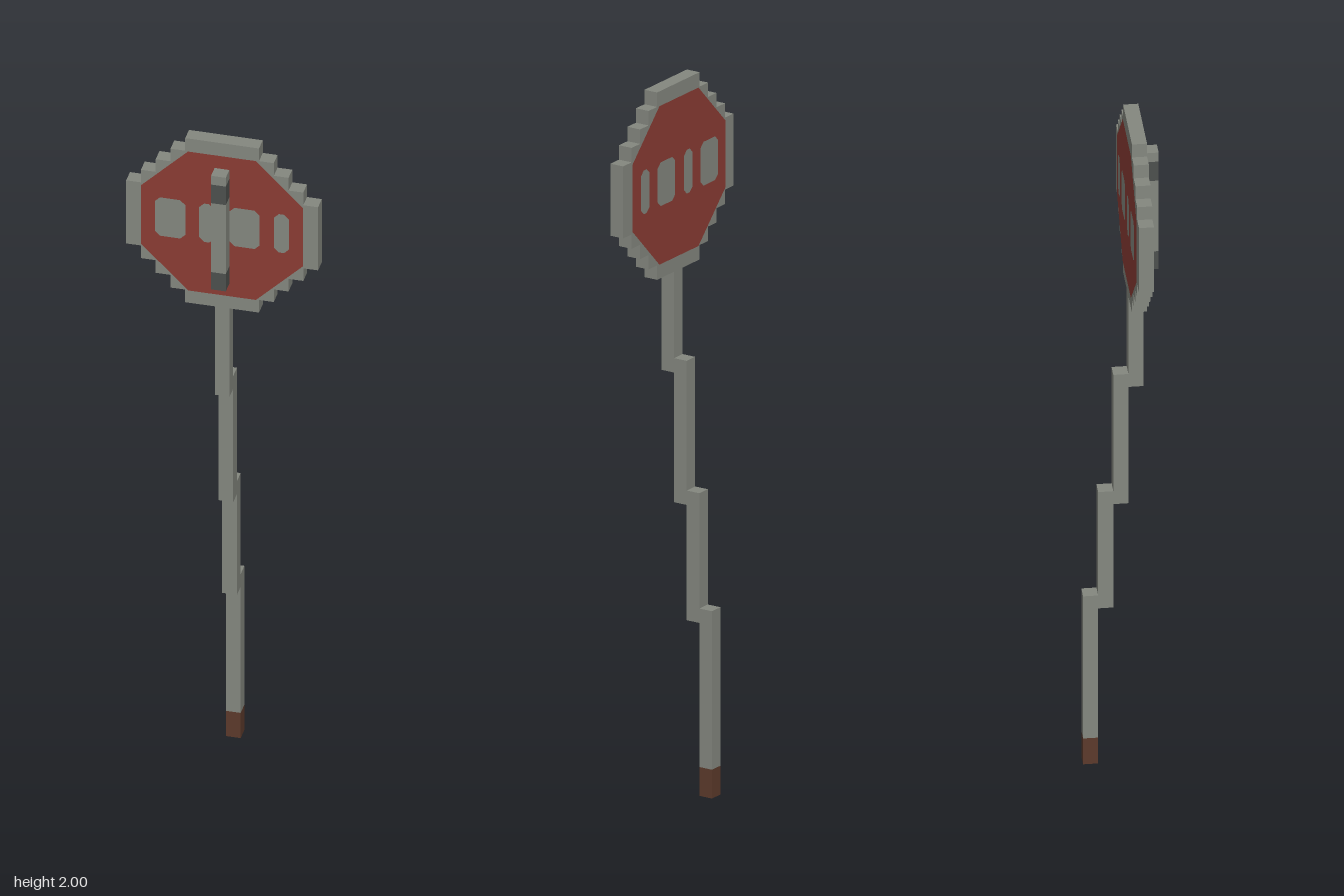
import * as THREE from 'three';

const V = 2 / 49; // one block

const mat = (name, color) => {
  const m = new THREE.MeshStandardMaterial({ color });
  m.name = name;
  return m;
};

export function createModel() {
  const grey = mat('metalGrey', 0x84877f);
  const red = mat('signRed', 0x8b3c34);
  const brown = mat('rustBrown', 0x5c3a2b);
  const dark = mat('darkGrey', 0x4d504e);

  const model = new THREE.Group();
  model.name = 'bentRoadSign';

  const add = (parent, name, geometry, material, x, y, z) => {
    const mesh = new THREE.Mesh(geometry, material);
    mesh.name = name;
    mesh.position.set(x, y, z);
    parent.add(mesh);
    return mesh;
  };
  // Square post piece between two heights, in block layer z
  const post = (parent, name, y0, y1, layer, material) =>
    add(parent, name, new THREE.BoxGeometry(V, y1 - y0, V), material, 0, (y0 + y1) / 2, layer * V);

  // Leaning pole made of overlapping steps
  const pole = new THREE.Group();
  pole.name = 'pole';
  model.add(pole);
  post(pole, 'poleFoot', 0, 2 * V, -2, brown);
  [[2, 13], [12, 21], [20, 30], [29, 36]].forEach(([a, b], i) =>
    post(pole, 'poleSegment' + (i + 1), a * V, b * V, i - 2, grey));

  // Sign board with a stepped octagonal outline
  const sign = new THREE.Group();
  sign.name = 'signBoard';
  sign.position.set(0, 42.5 * V, V);
  model.add(sign);

  const quarter = [[6.5, 2.5], [5.5, 2.5], [5.5, 3.5], [4.5, 3.5], [4.5, 4.5],
    [3.5, 4.5], [3.5, 5.5], [2.5, 5.5], [2.5, 6.5]];
  const flip = (pts, sx, sy) => pts.map(([x, y]) => [x * sx, y * sy]);
  const outline = [
    ...quarter,
    ...flip(quarter, -1, 1).reverse(),
    ...flip(quarter, -1, -1),
    ...flip(quarter, 1, -1).reverse(),
  ].map(([x, y]) => new THREE.Vector2(x * V, y * V));
  const board = new THREE.ExtrudeGeometry(new THREE.Shape(outline), { depth: V, bevelEnabled: false });
  add(sign, 'boardFrame', board, grey, 0, 0, -V / 2);

  // Rectangle with cut corners
  const cutRect = (w, h, c) => new THREE.ShapeGeometry(new THREE.Shape([
    [w - c, -h], [w, -h + c], [w, h - c], [w - c, h],
    [-w + c, h], [-w, h - c], [-w, -h + c], [-w + c, -h],
  ].map(([x, y]) => new THREE.Vector2(x, y))));

  // Painted faces on both sides; the patches line up through the board
  const patches = [[-0.143, 0.042], [-0.042, 0.021], [0.063, 0.042], [0.165, 0.021]];
  for (const side of [1, -1]) {
    const label = side > 0 ? 'front' : 'back';
    const face = add(sign, label + 'RedFace', cutRect(5.5 * V, 5.5 * V, 3.2 * V), red,
      0, 0, side * (V / 2 + 0.002));
    if (side < 0) face.rotation.y = Math.PI;
    patches.forEach(([x, halfWidth], i) => {
      const patch = add(sign, label + 'Patch' + (i + 1), cutRect(halfWidth, 0.062, 0.014), grey,
        x, 0.003, side * (V / 2 + 0.004));
      if (side < 0) patch.rotation.y = Math.PI;
    });
  }

  // Upright bracket on the front with dark bands
  const bracket = new THREE.Group();
  bracket.name = 'frontBracket';
  model.add(bracket);
  post(bracket, 'bracketLowerBand', 38 * V, 1.607, 2, dark);
  post(bracket, 'bracketBar', 1.607, 1.83, 2, grey);
  post(bracket, 'bracketUpperBand', 1.83, 1.89, 2, dark);
  post(bracket, 'bracketCap', 1.89, 47 * V, 2, grey);

  return model;
}
